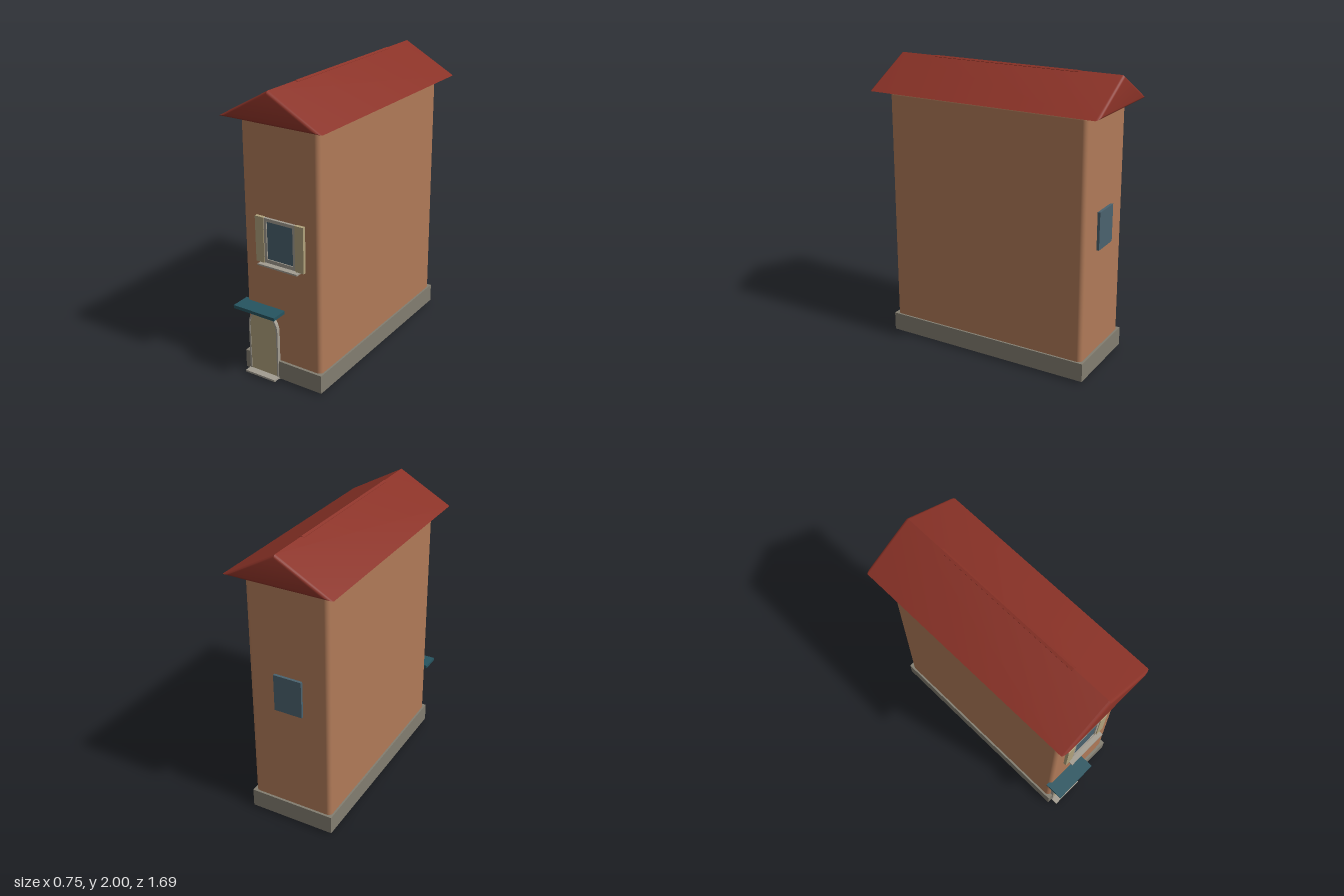
import * as THREE from 'three';
import { RoundedBoxGeometry } from 'three/addons/geometries/RoundedBoxGeometry.js';
import { toCreasedNormals } from 'three/addons/utils/BufferGeometryUtils.js';

const mat = (color) => new THREE.MeshStandardMaterial({ color });
const brick = mat(0xb07a58), tile = mat(0x8a3227), stone = mat(0x827d70), trim = mat(0xa29c90),
  wood = mat(0xb0a27c), glass = mat(0x4a626e), teal = mat(0x265460);

function add(parent, name, geometry, material) {
  const mesh = new THREE.Mesh(geometry, material);
  mesh.name = name;
  parent.add(mesh);
  return mesh;
}

// Box given by its limits on each axis
function box(parent, name, material, [x0, x1], [y0, y1], [z0, z1]) {
  const mesh = add(parent, name, new THREE.BoxGeometry(x1 - x0, y1 - y0, z1 - z0), material);
  mesh.position.set((x0 + x1) / 2, (y0 + y1) / 2, (z0 + z1) / 2);
  return mesh;
}

// Solid gabled roof: triangles lofted along z, shrunk towards the rounded ends
function roofGeometry() {
  const half = 0.375, eave = 1.79, ridge = 1.997, front = 0.83, back = -0.845, r = 0.02;
  const a = Math.atan2(ridge - eave, half);
  const section = (inset, z) => {
    const y = eave + inset, x = half - inset / Math.tan(a / 2);
    return [[-x, y, z], [x, y, z], [0, ridge - inset / Math.cos(a), z]];
  };
  const sections = [], steps = 4;
  for (let i = 0; i <= steps; i++) {
    const t = (i / steps) * Math.PI / 2;
    sections.push(section(r * (1 - Math.sin(t)), back + r * (1 - Math.cos(t))));
  }
  for (let i = steps; i >= 0; i--) {
    const t = (i / steps) * Math.PI / 2;
    sections.push(section(r * (1 - Math.sin(t)), front - r * (1 - Math.cos(t))));
  }
  const p = [];
  for (let i = 0; i < sections.length - 1; i++) {
    for (let k = 0; k < 3; k++) {
      const s = sections[i], e = sections[i + 1], n = (k + 1) % 3;
      p.push(...s[k], ...s[n], ...e[n], ...s[k], ...e[n], ...e[k]);
    }
  }
  const [b0, b1, b2] = sections[0];
  p.push(...b0, ...b2, ...b1, ...sections[sections.length - 1].flat());
  const g = new THREE.BufferGeometry();
  g.setAttribute('position', new THREE.Float32BufferAttribute(p, 3));
  g.computeVertexNormals();
  return toCreasedNormals(g, 0.45);
}

// Round-topped outline of the doorway
function arch(Type, cx, halfWidth, bottom, top) {
  const s = new Type();
  s.moveTo(cx - halfWidth, bottom);
  s.lineTo(cx + halfWidth, bottom);
  s.lineTo(cx + halfWidth, top - halfWidth);
  s.absarc(cx, top - halfWidth, halfWidth, 0, Math.PI, false);
  s.closePath();
  return s;
}

function extrude(shape, z0, z1) {
  const g = new THREE.ExtrudeGeometry(shape, { depth: z1 - z0, bevelEnabled: false, curveSegments: 14 });
  g.translate(0, 0, z0);
  return toCreasedNormals(g, 0.6);
}

export function createModel() {
  const house = new THREE.Group();
  house.name = 'house';

  // Walls: soft-edged block, a little narrower at the top
  const wallGeometry = new RoundedBoxGeometry(0.584, 1.71, 1.475, 4, 0.03);
  const pos = wallGeometry.attributes.position;
  for (let i = 0; i < pos.count; i++) {
    const k = 1 - 0.01 * (pos.getY(i) / 1.71 + 0.5);
    pos.setX(i, pos.getX(i) * k);
    pos.setZ(i, pos.getZ(i) * k);
  }
  add(house, 'walls', wallGeometry, brick).position.set(0, 0.935, -0.006);

  box(house, 'plinth', stone, [-0.305, 0.305], [0.015, 0.145], [-0.76, 0.75]);

  // Roof with a slim raised ridge
  const roof = new THREE.Group();
  roof.name = 'roof';
  house.add(roof);
  add(roof, 'roofBlock', roofGeometry(), tile);
  const cap = new THREE.Shape([[-0.015, 1.986], [0.015, 1.986], [0.015, 1.991], [0, 2], [-0.015, 1.991]]
    .map(([x, y]) => new THREE.Vector2(x, y)));
  add(roof, 'ridgeCap', extrude(cap, -0.54, 0.54), tile);

  // Front window: glass, frame, shutters and sill
  const win = new THREE.Group();
  win.name = 'frontWindow';
  house.add(win);
  box(win, 'windowGlass', glass, [-0.105, 0.105], [0.865, 1.135], [0.71, 0.738]);
  const rect = (Type, x, y0, y1) => new Type([[-x, y0], [x, y0], [x, y1], [-x, y1]]
    .map(([u, v]) => new THREE.Vector2(u, v)));
  const frame = rect(THREE.Shape, 0.122, 0.845, 1.152);
  frame.holes.push(rect(THREE.Path, 0.1, 0.87, 1.13));
  add(win, 'windowFrame', extrude(frame, 0.71, 0.745), trim);
  for (const s of [-1, 1]) {
    const xs = [s * 0.12, s * 0.184].sort((a, b) => a - b);
    box(win, s < 0 ? 'rightShutter' : 'leftShutter', wood, xs, [0.843, 1.155], [0.71, 0.75]);
  }
  box(win, 'windowSill', trim, [-0.152, 0.152], [0.832, 0.843], [0.71, 0.78]);

  // Back window: plain pane
  box(house, 'backWindow', glass, [-0.1, 0.1], [0.87, 1.13], [-0.758, -0.72]);

  // Arched door with surround, step and canopy
  const entrance = new THREE.Group();
  entrance.name = 'entrance';
  house.add(entrance);
  const surround = arch(THREE.Shape, -0.149, 0.117, 0.015, 0.482);
  surround.holes.push(arch(THREE.Path, -0.149, 0.105, 0.018, 0.47));
  add(entrance, 'doorSurround', extrude(surround, 0.71, 0.756), trim);
  add(entrance, 'door', extrude(arch(THREE.Shape, -0.149, 0.106, 0.017, 0.471), 0.71, 0.752), wood);
  box(entrance, 'doorStep', trim, [-0.27, -0.03], [0.013, 0.026], [0.73, 0.803]);
  box(entrance, 'stepFoot', trim, [-0.265, -0.035], [0, 0.014], [0.73, 0.742]);
  box(entrance, 'canopy', teal, [-0.312, 0.013], [0.504, 0.526], [0.71, 0.845]);

  return house;
}
